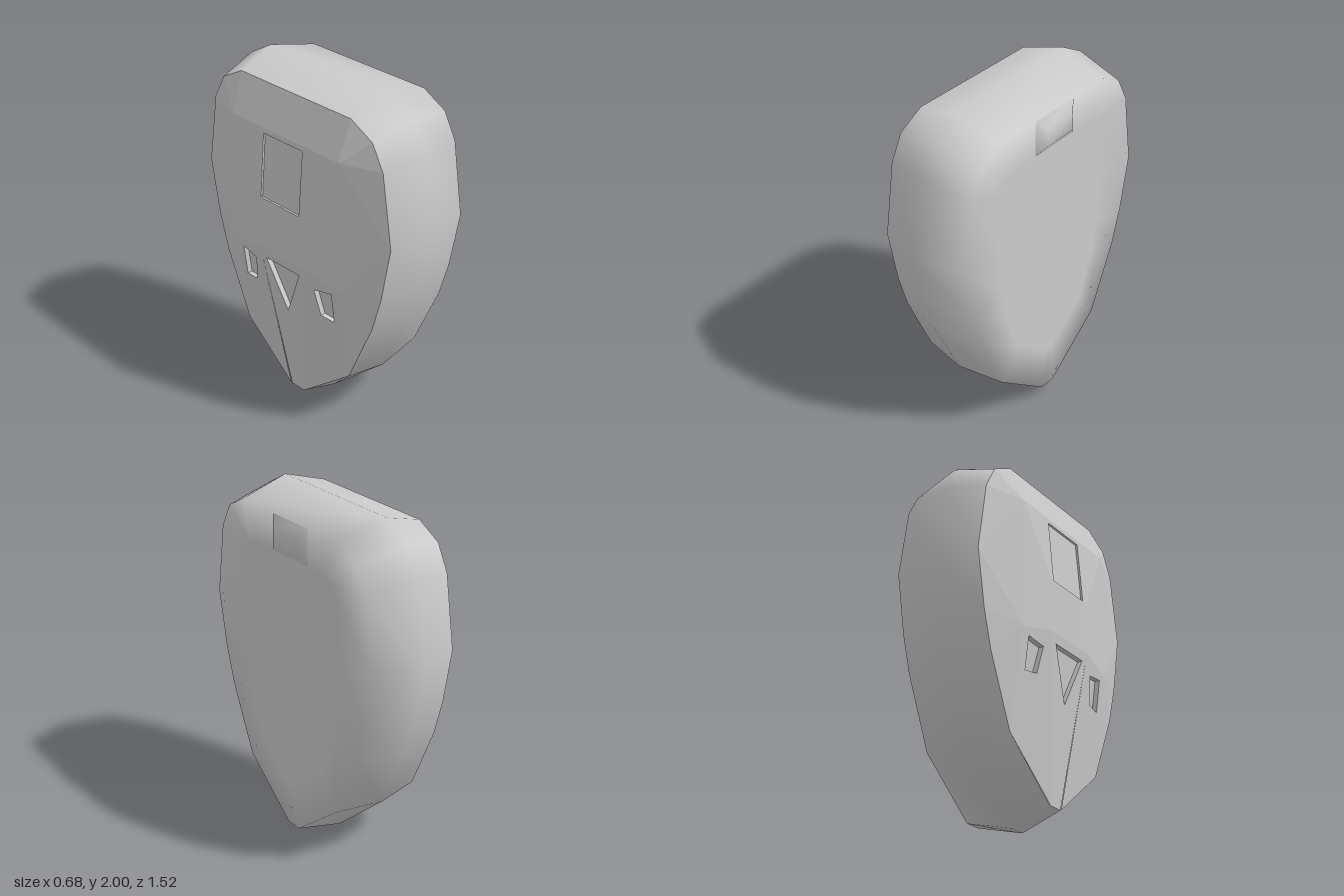
import * as THREE from 'three';
import { mergeGeometries } from 'three/addons/utils/BufferGeometryUtils.js';

// Half outlines as [z, y], from the top edge down to the tip
const RIM = [[0.41, 1.93], [0.56, 1.85], [0.635, 1.71], [0.7, 1.3], [0.64, 0.97], [0.58, 0.76], [0.41, 0.37], [0.05, 0.08]];
const BELT = [[0.44, 2], [0.6, 1.91], [0.695, 1.75], [0.76, 1.3], [0.7, 0.97], [0.63, 0.75], [0.44, 0.345], [0.05, 0]];
const INNER = [[0.3, 1.71], [0.37, 1.69], [0.41, 1.62], [0.43, 1.3], [0.41, 1], [0.37, 0.8], [0.28, 0.55], [0.03, 0.35]];

const mirrorZ = (pts) => pts.map(([z, ...rest]) => [-z, ...rest]);
const fullRing = (half) => [...half, ...mirrorZ(half).reverse()];

// Skin through rings [x, points], closed by a centre fan on the +x end
function loft(rings, centre) {
  const n = rings[0][1].length, pos = [], idx = [];
  for (const [x, pts] of rings) for (const [z, y] of pts) pos.push(x, y, z);
  for (let r = 0; r < rings.length - 1; r++) {
    for (let i = 0; i < n; i++) {
      const j = (i + 1) % n, a = r * n, b = a + n;
      idx.push(a + i, a + j, b + j, a + i, b + j, b + i);
    }
  }
  const last = (rings.length - 1) * n;
  pos.push(...centre);
  for (let i = 0; i < n; i++) idx.push(rings.length * n, last + i, last + (i + 1) % n);
  const g = new THREE.BufferGeometry();
  g.setAttribute('position', new THREE.Float32BufferAttribute(pos, 3));
  g.setIndex(idx);
  g.computeVertexNormals();
  return g;
}

// Height above x = 0 (towards -x) on the plane through three [z, y, h] points
function planeThrough([p, q, r]) {
  const [az, ay, ah] = q.map((v, i) => v - p[i]);
  const [bz, by, bh] = r.map((v, i) => v - p[i]);
  const det = az * by - bz * ay;
  const sz = (ah * by - bh * ay) / det, sy = (az * bh - bz * ah) / det;
  return (z, y) => p[2] + sz * (z - p[0]) + sy * (y - p[1]);
}

const toShape = (pts) => new THREE.Shape(pts.map(([z, y]) => new THREE.Vector2(z, y)));

// Flat panel facing -x, laid on a height rule, with an optional hole
function panel(pts, height, hole) {
  const shape = toShape(pts);
  if (hole) shape.holes.push(toShape(hole));
  const g = new THREE.ShapeGeometry(shape).toNonIndexed();
  const p = g.attributes.position;
  for (let i = 0; i < p.count; i++) {
    const z = p.getX(i), y = p.getY(i);
    p.setXYZ(i, -height(z, y), y, z);
  }
  g.deleteAttribute('uv');
  g.computeVertexNormals();
  return g;
}

// Walls and floor of a shallow pocket sunk below a panel
function pocket(hole, height, depth) {
  const pos = [];
  hole.forEach(([z, y], i) => {
    const [z2, y2] = hole[(i + 1) % hole.length];
    const a = [-height(z, y), y, z], b = [-height(z2, y2), y2, z2];
    const c = [b[0] + depth, y2, z2], d = [a[0] + depth, y, z];
    pos.push(...a, ...b, ...c, ...a, ...c, ...d);
  });
  const walls = new THREE.BufferGeometry();
  walls.setAttribute('position', new THREE.Float32BufferAttribute(pos, 3));
  walls.computeVertexNormals();
  return mergeGeometries([walls, panel(hole, (z, y) => height(z, y) - depth)]);
}

export function createModel() {
  const group = new THREE.Group();
  const smooth = new THREE.MeshStandardMaterial({ color: 0xcccccc });
  const flat = new THREE.MeshStandardMaterial({ color: 0xcccccc, flatShading: true, side: THREE.DoubleSide });
  const add = (name, geometry, material) => {
    const mesh = new THREE.Mesh(geometry, material);
    mesh.name = name;
    group.add(mesh);
  };

  // Soft-edged shell: wide belt between two rims, flat on the +x side
  const rim = fullRing(RIM);
  add('shell', loft([[-0.23, rim], [0.01, fullRing(BELT)], [0.3, rim], [0.3, fullRing(INNER)]], [0.3, 1.2, 0]), smooth);

  // Small raised catch near the top of the +x side
  const rect = (z0, z1, y0, y1) => [[z1, y1], [z1, y0], [z0, y0], [z0, y1]];
  add('catch', loft([[0.295, rect(-0.17, 0.15, 1.71, 1.93)], [0.338, rect(-0.11, 0.09, 1.77, 1.87)]],
    [0.338, 1.82, -0.01]), smooth);

  // Faceted cover on the -x side; corners are [z, y, height]
  const edge = RIM.map(([z, y]) => [z, y, 0.23]);
  const tip = edge[7];
  const high = [0.17, 1.3, 0.34], low = [0.17, 1, 0.34];
  const top = [0.4, 1.71, 0.307], side = [0.4, 0.95, 0.307];
  const across = (a, b) => [a, b, ...mirrorZ([b, a])];

  const window = rect(-0.155, 0.14, 1.31, 1.68);
  const arrow = [[-0.13, 0.94], [0.13, 0.94], [0, 0.64]];
  const slot = [[0.35, 0.91], [0.23, 0.89], [0.26, 0.73], [0.35, 0.72]];

  const facets = [
    [across(high, low)],
    [across(top, high), window, 0.012, 'windowRecess'],
    [across(low, tip), arrow, 0.03, 'arrowRecess'],
    [across(edge[0], top)],
  ];
  const half = [
    [[high, top, side, low]],
    [[low, side, edge[6], tip], slot, 0.03, 'slotRecess'],
    ...[0, 1, 2].map((i) => [[top, edge[i], edge[i + 1]]]),
    [[top, edge[3], side]],
    ...[3, 4, 5].map((i) => [[side, edge[i], edge[i + 1]]]),
  ];
  for (const [pts, hole, depth, name] of half) {
    facets.push([pts, hole, depth, name && name + 'Left']);
    facets.push([mirrorZ(pts), hole && mirrorZ(hole), depth, name && name + 'Right']);
  }

  const cover = [];
  for (const [pts, hole, depth, name] of facets) {
    const height = planeThrough(pts);
    cover.push(panel(pts, height, hole));
    if (hole) add(name, pocket(hole, height, depth), flat);
  }
  add('cover', mergeGeometries(cover), flat);
  return group;
}
